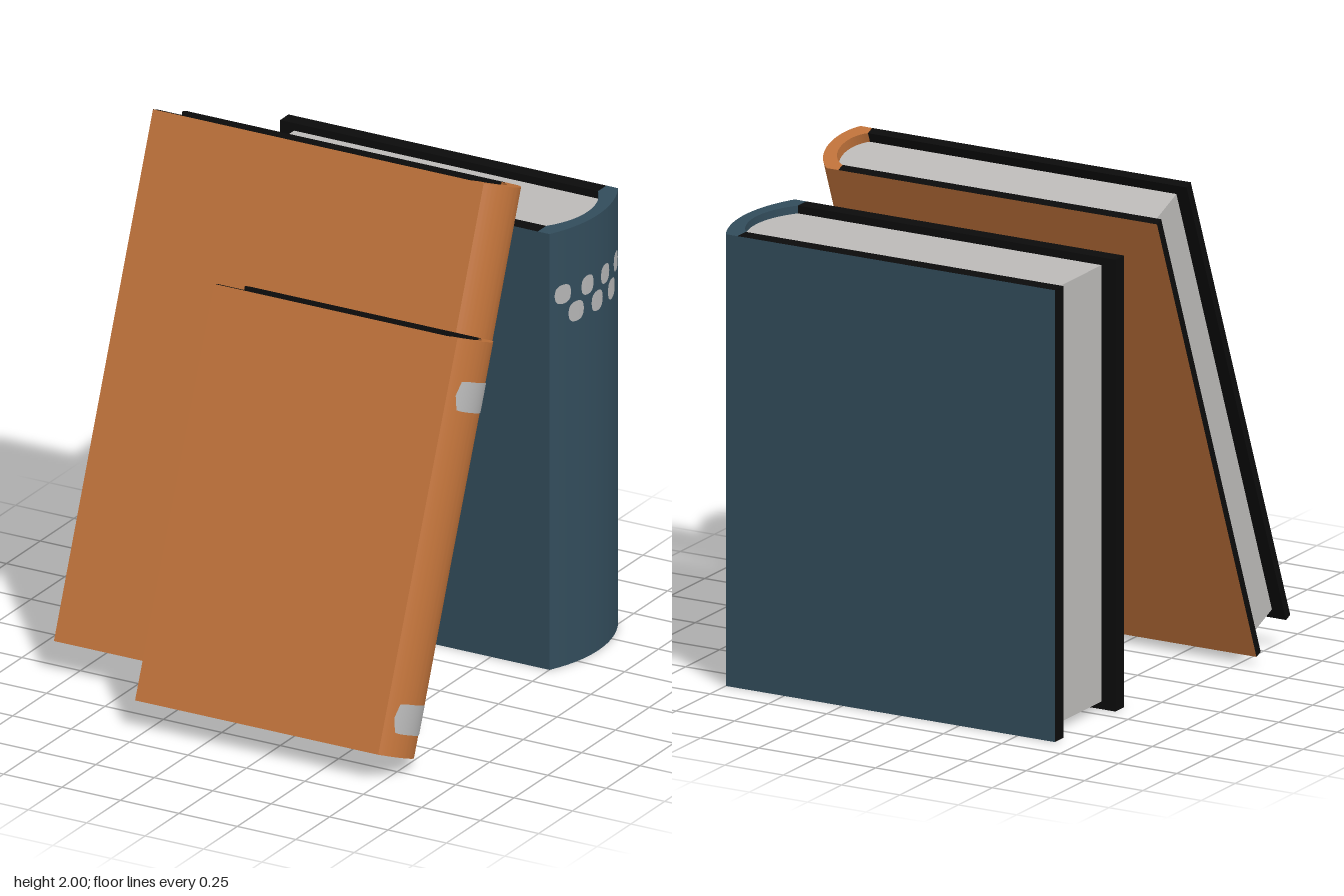
import * as THREE from 'three';
import { toCreasedNormals } from 'three/addons/utils/BufferGeometryUtils.js';

const material = (name, color) => Object.assign(new THREE.MeshStandardMaterial({ color }), { name });

// Circular bulge along +x: starts at x = start, rises by `rise` over half-width `half`
function bulge(start, rise, half) {
  const radius = (half * half + rise * rise) / (2 * rise);
  const cx = start + rise - radius;
  return { cx, radius, angle: Math.asin(half / radius), x: (z) => cx + Math.sqrt(radius * radius - z * z) };
}

// Extrude an outline in (x, z) upwards, keeping the curved side smooth
function upright(shape, height) {
  const geo = new THREE.ExtrudeGeometry(shape, { depth: height, bevelEnabled: false, curveSegments: 20 });
  return toCreasedNormals(geo.rotateX(-Math.PI / 2), 0.5);
}

export function createModel() {
  const orange = material('orange cloth', 0xbf723a);
  const blue = material('blue cloth', 0x324c5b);
  const black = material('black board', 0x0b0b0b);
  const paper = material('paper', 0xbcbab8);
  const silver = material('silver foil', 0xb4b4b4);
  const model = new THREE.Group();
  model.name = 'books';

  function makeBook(o) {
    const book = new THREE.Group();
    book.name = o.name;
    const add = (name, geo, mat) => {
      const mesh = new THREE.Mesh(geo, mat);
      mesh.name = name;
      book.add(mesh);
      return mesh;
    };
    const half = o.thick / 2;
    const innerHalf = half - o.board;
    const outer = bulge(o.curveStart, o.spineEnd - o.curveStart, half);
    const inner = bulge(o.boardEnd, o.pageEnd - o.boardEnd, innerHalf);

    // Cover boards: cloth on the outside face, black elsewhere
    for (const side of [1, -1]) {
      const width = o.boardEnd - o.left;
      const mats = Array(6).fill(black);
      mats[side > 0 ? 4 : 5] = o.cloth;
      const cover = add(side > 0 ? 'frontCover' : 'backCover', new THREE.BoxGeometry(width, o.height, o.board), mats);
      cover.position.set(o.left + width / 2, o.height / 2, side * (half - o.board / 2));
    }

    // Rounded spine shell
    const spine = new THREE.Shape();
    spine.moveTo(o.boardEnd, -half);
    spine.lineTo(o.curveStart, -half);
    spine.absarc(outer.cx, 0, outer.radius, -outer.angle, outer.angle, false);
    spine.lineTo(o.boardEnd, half);
    spine.lineTo(o.boardEnd, innerHalf);
    spine.absarc(inner.cx, 0, inner.radius, inner.angle, -inner.angle, true);
    add('spine', upright(spine, o.height), o.cloth);

    // Page block, set back from the top, bottom and fore edge
    const block = new THREE.Shape();
    block.moveTo(o.pageStart, -innerHalf);
    block.lineTo(o.boardEnd, -innerHalf);
    block.absarc(inner.cx, 0, inner.radius, -inner.angle, inner.angle, false);
    block.lineTo(o.pageStart, innerHalf);
    const pages = add('pages', upright(block, o.height - 2 * o.inset), paper);
    pages.position.y = o.inset;

    // Foil marks wrapped onto the spine: [z, y, half width, half height, roundness]
    for (const [z0, y0, w, h, n] of o.marks) {
      const geo = new THREE.PlaneGeometry(2, 2, 16, 1).rotateY(Math.PI / 2);
      const p = geo.attributes.position;
      for (let i = 0; i < p.count; i++) {
        const u = p.getZ(i);
        const z = z0 + u * w;
        const rim = Math.pow(Math.max(0, 1 - Math.abs(u) ** n), 1 / n);
        p.setXYZ(i, outer.x(z) + 0.003, y0 + p.getY(i) * h * rim, z);
      }
      geo.computeVertexNormals();
      add('spineMark', geo, silver);
    }

    book.position.set(0, o.y, o.z);
    book.rotation.x = -THREE.MathUtils.degToRad(o.tilt);
    model.add(book);
  }

  // Two staggered rows of foil dots
  const dots = [];
  for (let i = 0; i < 4; i++) dots.push([0.2 - i * 0.125, 1.495, 0.037, 0.038, 2.4]);
  for (let i = 0; i < 3; i++) dots.push([0.137 - i * 0.125, 1.41, 0.04, 0.04, 2.4]);

  makeBook({
    name: 'uprightBook', cloth: blue, y: 0, z: -0.63, tilt: 0, height: 1.75, thick: 0.508, board: 0.062,
    left: -0.66, boardEnd: 0.70, curveStart: 0.75, spineEnd: 0.813, pageStart: -0.6, pageEnd: 0.765,
    inset: 0.03, marks: dots,
  });
  makeBook({
    name: 'tallLeaningBook', cloth: orange, y: 0.0825, z: 0.45, tilt: 21.4, height: 2.008, thick: 0.267, board: 0.033,
    left: -0.82, boardEnd: 0.545, curveStart: 0.595, spineEnd: 0.66, pageStart: -0.768, pageEnd: 0.608,
    inset: 0.04, marks: [],
  });
  makeBook({
    name: 'shortLeaningBook', cloth: orange, y: 0.0675, z: 0.7625, tilt: 21.9, height: 1.573, thick: 0.276, board: 0.033,
    left: -0.29, boardEnd: 0.71, curveStart: 0.75, spineEnd: 0.8, pageStart: -0.25, pageEnd: 0.763,
    inset: 0.045, marks: [[0, 0.144, 0.11, 0.057, 7], [0, 1.362, 0.11, 0.057, 7]],
  });
  return model;
}
